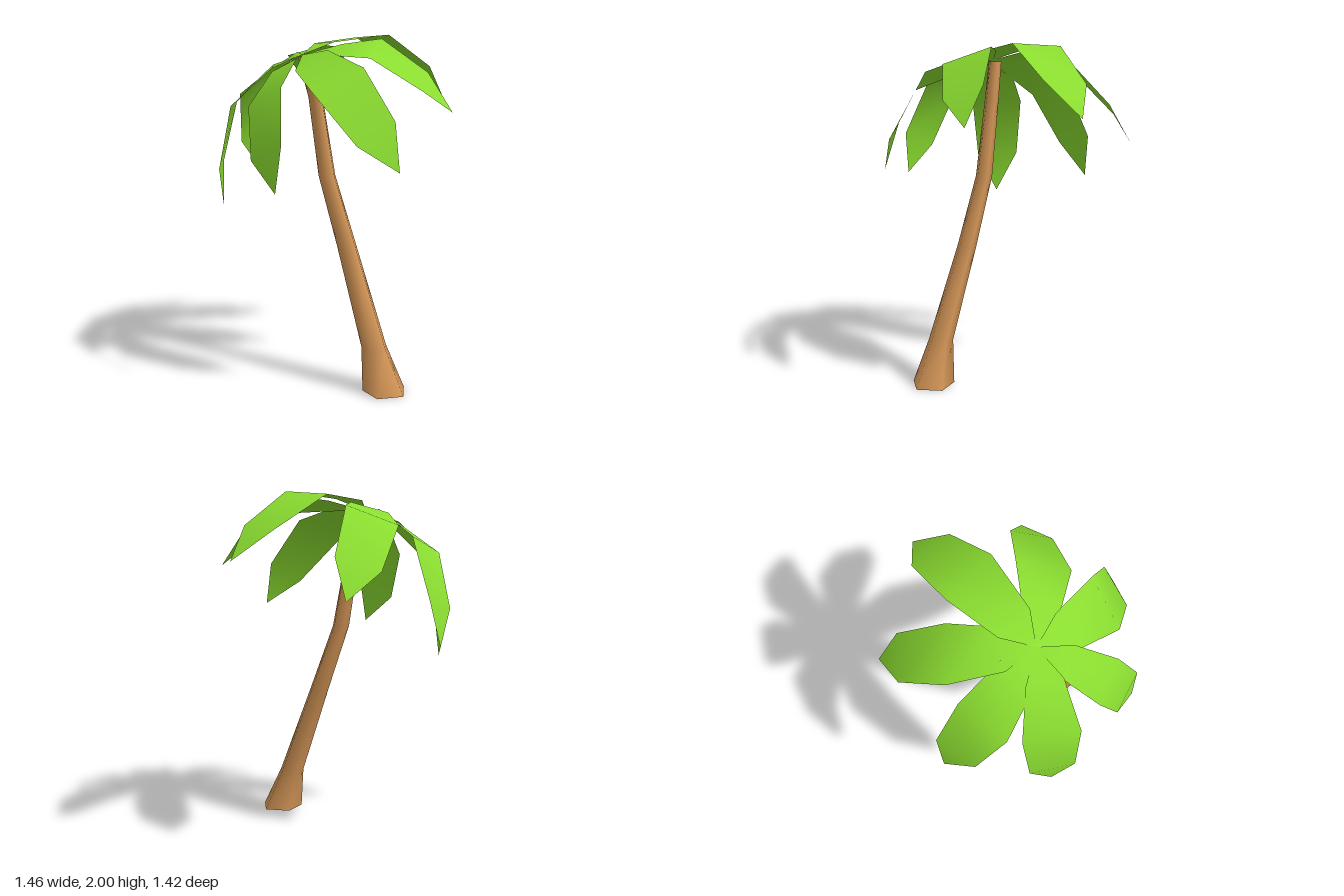
import * as THREE from 'three';

const bark = new THREE.MeshStandardMaterial({ color: 0xd09355 });
bark.name = 'bark brown';
const green = new THREE.MeshStandardMaterial({ color: 0x8adc30, side: THREE.DoubleSide });
green.name = 'leaf green';

const CROWN = [-0.26, 1.89, -0.07];

function geometry(points, index) {
  const g = new THREE.BufferGeometry();
  g.setAttribute('position', new THREE.Float32BufferAttribute(points.flat(), 3));
  g.setIndex(index);
  g.computeVertexNormals();
  return g;
}

// Leaning five-sided trunk lofted through rings of [x, y, z, radius]
function createTrunk() {
  const rings = [
    [-0.04, 0, 0.473, 0.13], [-0.068, 0.25, 0.405, 0.077], [-0.12, 0.8, 0.195, 0.06],
    [-0.168, 1.2, 0.052, 0.052], [-0.2, 1.65, -0.02, 0.044], [-0.245, 1.88, -0.07, 0.04],
  ];
  const sides = 5, points = [], index = [];
  for (const [x, y, z, r] of rings) {
    for (let i = 0; i < sides; i++) {
      const a = (i / sides) * Math.PI * 2;
      points.push([x + r * Math.cos(a), y, z + r * Math.sin(a)]);
    }
  }
  for (let k = 0; k < rings.length - 1; k++) {
    for (let i = 0; i < sides; i++) {
      const a = k * sides + i, b = k * sides + (i + 1) % sides;
      index.push(a, a + sides, b, b, a + sides, b + sides);
    }
  }
  const group = new THREE.Group();
  group.name = 'trunk';
  const shaft = new THREE.Mesh(geometry(points, index), bark);
  shaft.name = 'trunkShaft';
  // Flat underside
  const base = new THREE.Mesh(geometry(points.slice(0, sides), [0, 1, 2, 0, 2, 3, 0, 3, 4]), bark);
  base.name = 'trunkBase';
  group.add(shaft, base);
  return group;
}

// Each frond: left/right edge points at three stations going outward, then the tip
const fronds = {
  frondLeft: [
    [-0.11, 1.95, -0.19], [-0.11, 1.96, 0.03], [0.21, 1.98, -0.245], [0.23, 2.0, 0.085],
    [0.55, 1.785, -0.195], [0.54, 1.81, 0.07], [0.73, 1.62, -0.05]],
  frondBackLeft: [
    [-0.245, 1.88, -0.27], [-0.06, 1.94, -0.15], [-0.07, 1.81, -0.52], [0.14, 1.92, -0.32],
    [0.185, 1.57, -0.645], [0.37, 1.65, -0.48], [0.41, 1.42, -0.61]],
  frondFrontLeft: [
    [-0.05, 1.95, 0.03], [-0.19, 1.89, 0.18], [0.13, 1.98, 0.16], [-0.08, 1.88, 0.36],
    [0.34, 1.79, 0.325], [0.18, 1.7, 0.49], [0.405, 1.57, 0.475]],
  frondBack: [
    [-0.39, 1.81, -0.205], [-0.19, 1.9, -0.25], [-0.465, 1.65, -0.47], [-0.17, 1.75, -0.53],
    [-0.385, 1.34, -0.63], [-0.145, 1.4, -0.69], [-0.21, 1.14, -0.715]],
  frondFront: [
    [-0.205, 1.92, 0.12], [-0.395, 1.81, 0.09], [-0.165, 1.835, 0.43], [-0.445, 1.71, 0.365],
    [-0.095, 1.56, 0.63], [-0.315, 1.44, 0.6], [-0.12, 1.3, 0.71]],
  frondBackRight: [
    [-0.455, 1.82, -0.065], [-0.36, 1.83, -0.24], [-0.68, 1.61, -0.145], [-0.515, 1.61, -0.41],
    [-0.73, 1.25, -0.21], [-0.6, 1.26, -0.43], [-0.66, 1.01, -0.31]],
  frondFrontRight: [
    [-0.38, 1.875, 0.08], [-0.455, 1.8, -0.07], [-0.56, 1.735, 0.235], [-0.65, 1.62, 0.02],
    [-0.63, 1.43, 0.355], [-0.7, 1.34, 0.14], [-0.655, 1.18, 0.33]],
};

function createFrond(name, edge) {
  const index = [0, 2, 1];
  for (const l of [1, 3]) index.push(l, l + 1, l + 2, l + 1, l + 3, l + 2);
  index.push(5, 6, 7);
  const mesh = new THREE.Mesh(geometry([CROWN, ...edge], index), green);
  mesh.name = name;
  return mesh;
}

export function createModel() {
  const model = new THREE.Group();
  model.name = 'palmTree';
  const crown = new THREE.Group();
  crown.name = 'crown';
  for (const [name, edge] of Object.entries(fronds)) crown.add(createFrond(name, edge));
  model.add(createTrunk(), crown);
  return model;
}
